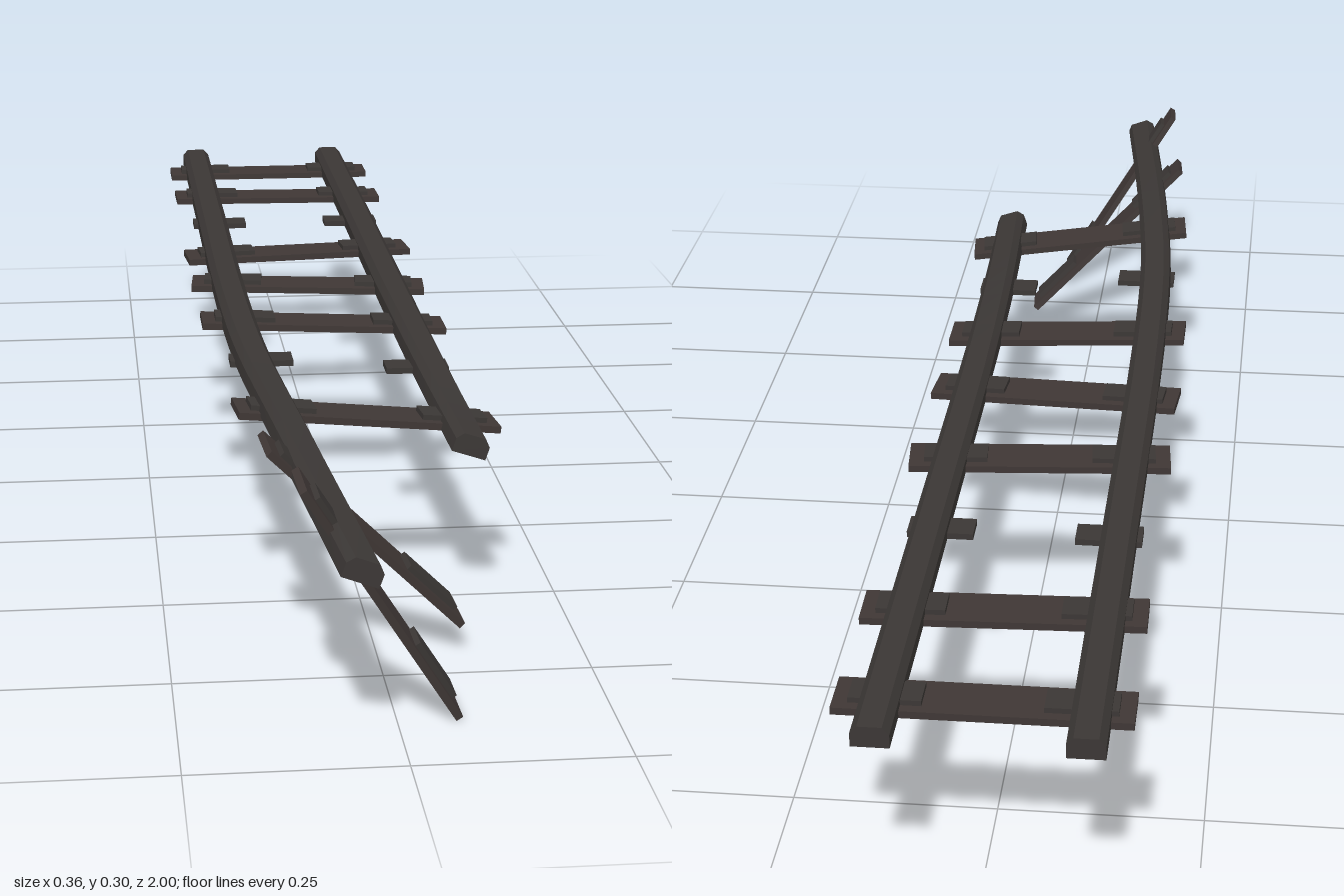
import * as THREE from 'three';

const wood = new THREE.MeshStandardMaterial({ color: 0x3f3735 });
wood.name = 'weathered wood';
const iron = new THREE.MeshStandardMaterial({ color: 0x3b3735 });
iron.name = 'rusted iron';

// Rail section, counter-clockwise seen from +z: flat base, chamfered top
const section = [[-0.022, -0.013], [0.022, -0.013], [0.022, 0.004], [0.014, 0.013], [-0.014, 0.013], [-0.022, 0.004]];

// Sweeps the section along z through the points; roll grows to endRoll at the broken tip
function makeRail(name, points, endRoll) {
  const curve = new THREE.CatmullRomCurve3(points.map(p => new THREE.Vector3(...p)));
  const steps = 20, n = section.length, pos = [], index = [];
  const first = points[0][2], last = points[points.length - 1][2];
  for (let i = 0; i <= steps; i++) {
    const p = curve.getPoint(i / steps);
    const s = Math.max(0, (p.z + 0.1) / (last + 0.1));
    const a = endRoll * s, c = Math.cos(a), d = Math.sin(a);
    const z = THREE.MathUtils.clamp(p.z, first, last);
    for (const [x, y] of section) pos.push(p.x + x * c - y * d, p.y + x * d + y * c, z);
  }
  for (let i = 0; i < steps; i++) {
    for (let j = 0; j < n; j++) {
      const a = i * n + j, b = i * n + (j + 1) % n;
      index.push(a, b, b + n, a, b + n, a + n);
    }
  }
  for (let j = 1; j < n - 1; j++) {
    const e = steps * n;
    index.push(0, j + 1, j, e, e + j, e + j + 1);
  }
  const indexed = new THREE.BufferGeometry();
  indexed.setAttribute('position', new THREE.Float32BufferAttribute(pos, 3));
  indexed.setIndex(index);
  const geometry = indexed.toNonIndexed();
  geometry.computeVertexNormals();
  const mesh = new THREE.Mesh(geometry, iron);
  mesh.name = name;
  return mesh;
}

function makePlate(x, y, z) {
  const plate = new THREE.Mesh(new THREE.BoxGeometry(0.083, 0.008, 0.04), iron);
  plate.name = 'tiePlate';
  plate.position.set(x, y, z);
  return plate;
}

// A plank between two end points, with an iron plate near each end
function makeSleeper(from, to) {
  const a = new THREE.Vector3(...from), b = new THREE.Vector3(...to);
  const group = new THREE.Group();
  group.name = 'sleeper';
  const xAxis = b.clone().sub(a).normalize();
  const zAxis = new THREE.Vector3().crossVectors(xAxis, new THREE.Vector3(0, 1, 0)).normalize();
  // keep steeply hanging planks square to the track
  if (Math.abs(xAxis.y) > 0.4) zAxis.set(0, 0, 1).addScaledVector(xAxis, -xAxis.z).normalize();
  const yAxis = new THREE.Vector3().crossVectors(zAxis, xAxis);
  group.quaternion.setFromRotationMatrix(new THREE.Matrix4().makeBasis(xAxis, yAxis, zAxis));
  group.position.copy(a).add(b).multiplyScalar(0.5);
  const plank = new THREE.Mesh(new THREE.BoxGeometry(a.distanceTo(b), 0.009, 0.065), wood);
  plank.name = 'plank';
  group.add(plank, makePlate(-0.11, 0.007, 0), makePlate(0.11, 0.007, 0));
  return group;
}

export function createModel() {
  const model = new THREE.Group();
  model.name = 'brokenTrack';

  // Rails: the -x one runs on, bending down and inward
  model.add(makeRail('longRail', [
    [-0.128, 0.26, -1], [-0.128, 0.262, -0.5], [-0.128, 0.266, 0],
    [-0.12, 0.265, 0.3], [-0.095, 0.256, 0.6], [-0.052, 0.226, 1]], -0.35));
  model.add(makeRail('shortRail', [
    [0.108, 0.26, -1], [0.108, 0.26, -0.5], [0.109, 0.256, 0],
    [0.117, 0.241, 0.3], [0.13, 0.221, 0.57]], -0.32));

  // Sleepers, the last two dangling from the long rail
  const sleepers = [
    [[-0.176, 0.25, -0.905], [0.163, 0.25, -0.905]],
    [[-0.176, 0.253, -0.705], [0.163, 0.249, -0.71]],
    [[-0.178, 0.25, -0.3], [0.163, 0.252, -0.33]],
    [[-0.178, 0.253, -0.132], [0.16, 0.247, -0.103]],
    [[-0.176, 0.256, 0.085], [0.163, 0.24, 0.085]],
    [[-0.156, 0.253, 0.49], [0.176, 0.215, 0.46]],
    [[-0.135, 0.275, 0.7], [0.1, 0.037, 0.66]],
    [[-0.112, 0.295, 0.895], [0.069, 0.004, 0.855]],
  ];
  for (const [from, to] of sleepers) model.add(makeSleeper(from, to));

  // Plates left behind where a plank is missing
  model.add(makePlate(-0.115, 0.252, -0.515), makePlate(0.095, 0.252, -0.515));
  model.add(makePlate(-0.108, 0.254, 0.28), makePlate(0.1, 0.236, 0.27));
  return model;
}
